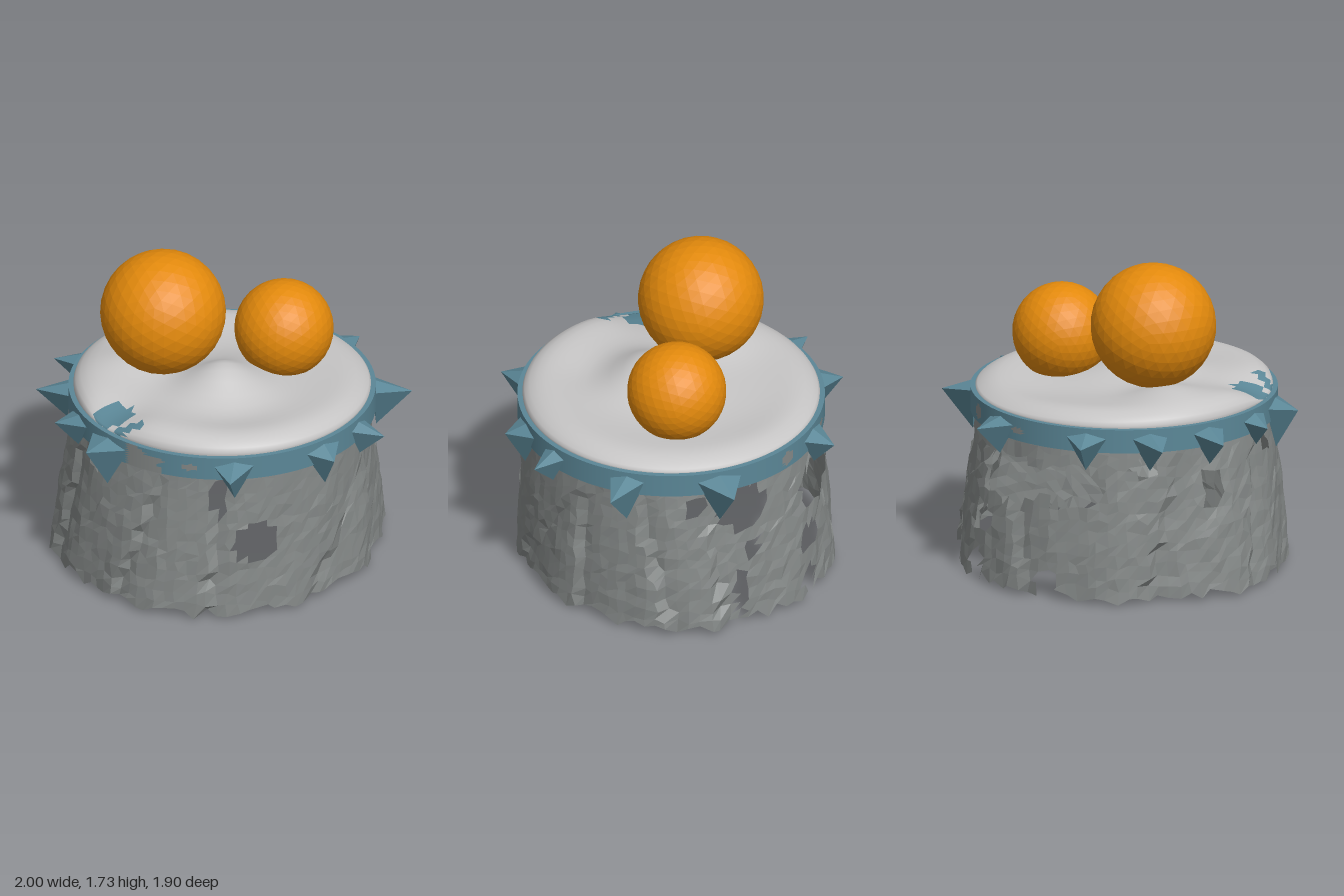
import * as THREE from 'three';
import { mergeVertices } from 'three/addons/utils/BufferGeometryUtils.js';

const mat = (name, color, side = THREE.FrontSide) => {
  const m = new THREE.MeshStandardMaterial({ color, side });
  m.name = name;
  return m;
};

function seeded(seed) {
  return () => {
    seed = (seed * 16807) % 2147483647;
    return seed / 2147483647;
  };
}

// Splits an indexed geometry into two material groups by triangle centre
function paint(geo, test) {
  const p = geo.attributes.position, idx = geo.index.array, parts = [[], []];
  for (let i = 0; i < idx.length; i += 3) {
    const t = [idx[i], idx[i + 1], idx[i + 2]];
    const c = new THREE.Vector3();
    t.forEach(k => c.add(new THREE.Vector3().fromBufferAttribute(p, k)));
    c.divideScalar(3);
    parts[test(c) ? 1 : 0].push(...t);
  }
  geo.clearGroups();
  geo.setIndex([...parts[0], ...parts[1]]);
  geo.addGroup(0, parts[0].length, 0);
  geo.addGroup(parts[0].length, parts[1].length, 1);
  return geo;
}

function fromTriangles(points) {
  const g = new THREE.BufferGeometry().setFromPoints(points);
  g.computeVertexNormals();
  return g;
}

const polar = (deg, r, y) => {
  const a = THREE.MathUtils.degToRad(deg);
  return new THREE.Vector3(r * Math.sin(a), y, r * Math.cos(a));
};
const inEllipse = (u, v, a, b) => (u / a) ** 2 + (v / b) ** 2 < 1;
const wrap = d => THREE.MathUtils.euclideanModulo(d + 180, 360) - 180;
// True where a point on the wall lies in one of the spots [angle, height, half angle, half height]
const inSpots = (c, spots) => {
  const deg = THREE.MathUtils.radToDeg(Math.atan2(c.x, c.z));
  return spots.some(([a, y, da, dy]) => inEllipse(wrap(deg - a), c.y - y, da, dy));
};

// Lumpy cushion top
function cushionGeometry() {
  const profile = [[0.785, 0.93], [0.797, 0.965], [0.798, 0.982], [0.787, 1.002], [0.76, 1.022], [0.72, 1.04],
    [0.675, 1.047], [0.63, 1.046], [0.58, 1.042], [0.52, 1.035], [0.46, 1.03], [0.4, 1.025], [0.33, 1.02], [0.26, 1.02],
    [0.19, 1.02], [0.12, 1.02], [0.06, 1.02], [0, 1.02]].map(q => new THREE.Vector2(...q));
  let g = new THREE.LatheGeometry(profile, 96);
  g.deleteAttribute('uv');
  g.deleteAttribute('normal');
  g = mergeVertices(g, 1e-4);
  // x, z, height, spread
  const lumps = [[0.03, 0.15, 0.145, 0.155], [-0.48, 0.0, 0.06, 0.13], [-0.5, 0.52, -0.06, 0.12], [0.12, 0.38, -0.03, 0.14],
    [0, -0.5, -0.02, 0.2], [0.1, -0.15, 0.02, 0.15]];
  const p = g.attributes.position;
  for (let i = 0; i < p.count; i++) {
    const x = p.getX(i), z = p.getZ(i);
    const fade = THREE.MathUtils.smoothstep(p.getY(i), 0.96, 1.02);
    let d = -0.014 * x + 0.02 * z;
    for (const [cx, cz, h, s] of lumps) d += h * Math.exp(-((x - cx) ** 2 + (z - cz) ** 2) / (2 * s * s));
    p.setY(i, p.getY(i) + d * fade);
  }
  g.computeVertexNormals();
  // Bare patch where the base shows through
  return paint(g, c => c.y > 0.97 && (inEllipse(c.x + 0.5, c.z - 0.5, 0.11, 0.095) || inEllipse(c.x + 0.39, c.z - 0.64, 0.08, 0.035)));
}

// Torn, pleated cloth wall with holes
function skirtGeometry() {
  const rand = seeded(71), cols = 96, rows = 14;
  // Hem radius every 15 degrees
  const hem = [0.87, 0.86, 0.83, 0.82, 0.82, 0.83, 0.84, 0.86, 0.93, 0.94, 0.89, 0.9,
    0.89, 0.9, 0.88, 0.87, 0.88, 0.85, 0.88, 0.94, 0.91, 0.88, 0.89, 0.89];
  // Overlapping folds: angle at hem, turn towards the top, depth
  const folds = [[-33, 20, 0.04], [3, 6, 0.035], [42, 50, 0.03], [84, 3, 0.035], [122, -14, 0.05],
    [140, -6, 0.04], [205, -12, 0.03], [250, 15, 0.035], [290, 12, 0.04]];
  const holes = [[22, 0.44, 9, 0.11], [8, 0.71, 3.5, 0.11], [311, 0.73, 3, 0.06], [277, 0.6, 4, 0.09],
    [195, 0.62, 17, 0.13], [222, 0.64, 14, 0.11], [181, 0.34, 6, 0.08], [150, 0.71, 10, 0.14],
    [131, 0.74, 3.5, 0.07], [147, 0.2, 2.5, 0.17], [153, 0.45, 3.5, 0.06], [213, 0.06, 5, 0.1], [178, 0.1, 4, 0.08],
    [250, 0.74, 5, 0.05]];
  const grid = [];
  for (let j = 0; j <= rows; j++) {
    const row = [];
    for (let i = 0; i < cols; i++) {
      const v = j / rows;
      const deg = (i + (rand() - 0.5) * 0.5) * 360 / cols;
      const y = j === 0 ? rand() * 0.065 : 0.03 + 0.84 * v + (j < rows ? (rand() - 0.5) * 0.04 : 0);
      const k = (deg + 360) % 360 / 15, k0 = Math.floor(k);
      const low = THREE.MathUtils.lerp(hem[k0], hem[(k0 + 1) % 24], k - k0);
      let relief = 0.006 * Math.sin(THREE.MathUtils.degToRad(deg) * 11 - v * 3) + (rand() - 0.5) * 0.01;
      for (const [a, turn, depth] of folds) {
        const d = wrap(deg - a - turn * v);
        if (d > 0) relief -= depth * Math.exp(-d / 8);
      }
      const r = THREE.MathUtils.lerp(low, 0.795, v ** 1.15) + relief * (1 - v ** 4);
      row.push(polar(deg, r, y));
    }
    grid.push(row);
  }
  grid[0][0].y = 0;
  const pts = [];
  const add = (...t) => {
    const c = new THREE.Vector3();
    t.forEach(q => c.addScaledVector(q, 1 / 3));
    if (!inSpots(c, holes)) pts.push(...t);
  };
  for (let j = 0; j < rows; j++) for (let i = 0; i < cols; i++) {
    const n = (i + 1) % cols;
    const a = grid[j][i], b = grid[j][n], c = grid[j + 1][n], d = grid[j + 1][i];
    add(a, b, c);
    add(a, c, d);
  }
  return fromTriangles(pts);
}

// Lopsided pyramid stud: long lower point, tip leaning outwards
function spikeGeometry(deg, half, low, tipX, tipZ) {
  const spread = THREE.MathUtils.radToDeg(half / 0.82);
  const base = [polar(deg, 0.815, 0.95), polar(deg - spread, 0.815, 0.92),
    polar(deg, 0.83, low), polar(deg + spread, 0.815, 0.92)];
  const tip = new THREE.Vector3(tipX, 0.89, tipZ);
  const pts = [];
  base.forEach((b, i) => pts.push(b, base[(i + 1) % 4], tip));
  pts.push(base[0], base[2], base[1], base[0], base[3], base[2]);
  return fromTriangles(pts);
}

export function createModel() {
  const blue = mat('slate blue', 0x5b8797), cloth = mat('grey cloth', 0x858988, THREE.DoubleSide);
  const pale = mat('pale grey', 0xc6c5c5), orange = mat('orange', 0xe48a0c);
  const model = new THREE.Group();
  const add = (name, geo, material) => {
    const m = new THREE.Mesh(geo, material);
    m.name = name;
    model.add(m);
    return m;
  };

  add('skirt', skirtGeometry(), cloth);
  add('cushion', cushionGeometry(), [pale, blue]);

  // Drum band with worn patches of cloth
  const band = new THREE.CylinderGeometry(0.825, 0.825, 0.13, 180, 10).translate(0, 0.905, 0);
  const worn = [[-3, 0.905, 3, 0.018], [-17, 0.915, 4, 0.02], [50, 0.88, 3, 0.02], [171, 0.9, 3, 0.04],
    [198, 0.895, 3, 0.018], [139, 0.905, 2, 0.016]];
  paint(band, c => {
    if (Math.hypot(c.x, c.z) < 0.8) return false;
    const slant = c.z > 0 && c.x > -0.4 && c.x < -0.2 - Math.max(0, c.y - 0.87) * 1.4;
    return slant || inSpots(c, worn);
  });
  add('band', band, [blue, cloth]);

  // base angle, half width, lowest point, tip x, tip z
  const spikes = [[189, 0.11, 0.74, -0.12, -0.955], [140, 0.13, 0.67, 0.62, -0.78], [105, 0.1, 0.68, 0.995, -0.23],
    [72, 0.08, 0.76, 0.93, 0.29], [51, 0.125, 0.71, 0.71, 0.61], [14, 0.115, 0.73, 0.2, 0.95],
    [321.5, 0.145, 0.67, -0.62, 0.73], [301, 0.11, 0.77, -0.84, 0.43], [276, 0.1, 0.74, -1, 0.08],
    [252, 0.1, 0.74, -0.96, -0.27], [228, 0.12, 0.74, -0.72, -0.64]];
  spikes.forEach((s, i) => add('spike' + (i + 1), spikeGeometry(...s), blue));

  // Faceted balls resting on the cushion
  for (const [name, r, x, y, z] of [['largeBall', 0.338, -0.32, 1.39, 0.01], ['smallBall', 0.267, 0.3, 1.22, -0.22]]) {
    const g = new THREE.IcosahedronGeometry(r, 5);
    g.computeVertexNormals();
    add(name, g, orange).position.set(x, y, z);
  }
  return model;
}
